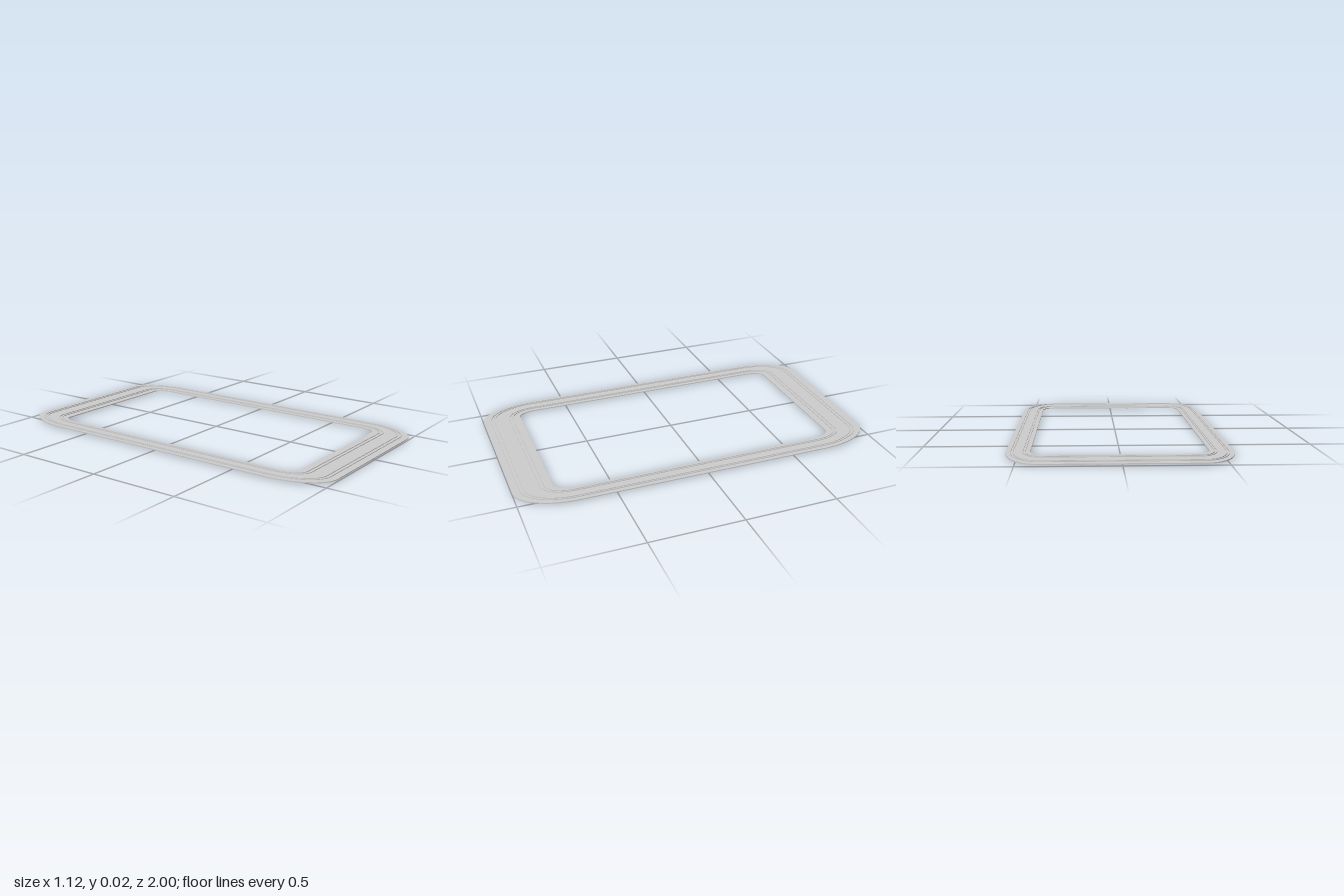
import * as THREE from 'three';
import { toCreasedNormals } from 'three/addons/utils/BufferGeometryUtils.js';

const CX = 0.387, CZ = 0.694, STRETCH = 1.75; // corner centres, lengthwise stretch
const R_IN = 0.055, R_OUT = 0.175;            // inner and outer corner radii

// Closed loop with elliptical corners of radius r
function outline(r, PathType) {
  const p = new PathType();
  [[1, 1], [-1, 1], [-1, -1], [1, -1]].forEach(([sx, sy], i) => {
    const a = i * Math.PI / 2;
    p.absellipse(sx * CX, sy * CZ, r, r * STRETCH, a, a + Math.PI / 2, false, 0);
  });
  p.closePath();
  return p;
}

// Flat ring between two corner radii, from height y0 to y1
function ring(name, rIn, rOut, y0, y1, material) {
  const shape = outline(rOut, THREE.Shape);
  shape.holes.push(outline(rIn, THREE.Path));
  const geo = new THREE.ExtrudeGeometry(shape, { depth: y1 - y0, bevelEnabled: false, curveSegments: 14 });
  geo.rotateX(-Math.PI / 2).translate(0, y0, 0);
  const mesh = new THREE.Mesh(toCreasedNormals(geo, 0.5), material);
  mesh.name = name;
  return mesh;
}

export function createModel() {
  const group = new THREE.Group();
  group.name = 'trackLoop';
  const grey = new THREE.MeshStandardMaterial({ color: 0xcccccc });

  // Road bed
  group.add(ring('trackBed', R_IN, R_OUT, 0.007, 0.0125, grey));

  // Two lanes, each with a pair of narrow raised rails
  const railWidth = 0.004;
  [['inner', 0.085], ['outer', 0.145]].forEach(([lane, mid]) => {
    [-0.006, 0.006].forEach((offset) => {
      const r = mid + offset;
      group.add(ring(lane + 'LaneRail', r - railWidth / 2, r + railWidth / 2, 0.0125, 0.0165, grey));
    });
  });

  // Shallow joint strips under the straights
  const mid = (R_IN + R_OUT) / 2, width = R_OUT - R_IN;
  const addBox = (name, w, h, d, x, y, z) => {
    const mesh = new THREE.Mesh(new THREE.BoxGeometry(w, h, d), grey);
    mesh.name = name;
    mesh.position.set(x, y, z);
    group.add(mesh);
  };
  for (const side of [-1, 1]) {
    for (let i = -3; i <= 3; i++) {
      addBox('endJoint', 0.02, 0.002, width * STRETCH * 0.96, i * 0.11, 0.0065, side * (CZ + mid * STRETCH));
    }
    for (let i = -6; i <= 6; i++) {
      addBox('sideJoint', width * 0.96, 0.002, 0.02, side * (CX + mid), 0.0065, i * 0.105);
    }
  }

  // Small feet under the corners
  for (const sx of [-1, 1]) for (const sz of [-1, 1]) {
    const foot = new THREE.Mesh(new THREE.CylinderGeometry(0.006, 0.004, 0.008, 10), grey);
    foot.name = 'cornerFoot';
    foot.position.set(sx * (CX + mid * 0.7), 0.004, sz * (CZ + mid * STRETCH * 0.7));
    group.add(foot);
  }
  return group;
}
